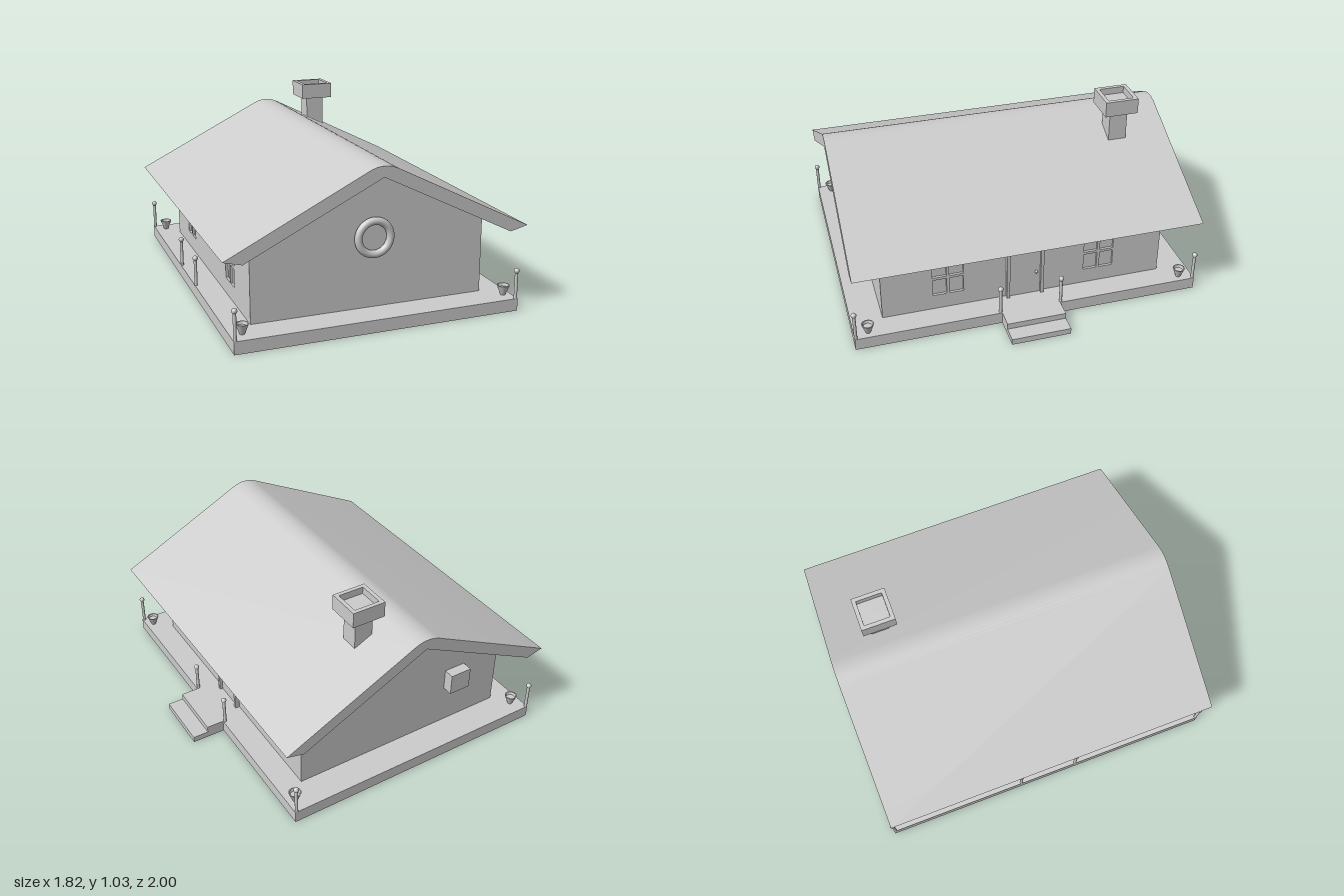
import * as THREE from 'three';
import { toCreasedNormals } from 'three/addons/utils/BufferGeometryUtils.js';

const grey = new THREE.MeshStandardMaterial({ color: 0xcccccc });
grey.name = 'plain grey';

const CX = -0.075; // house centre line
const WALL = 0.07; // wall thickness
const HALF_W = 0.655, HALF_L = 0.815;
const FLOOR = 0.07;

function add(parent, name, geometry, x = 0, y = 0, z = 0) {
  const mesh = new THREE.Mesh(geometry, grey);
  mesh.name = name;
  mesh.position.set(x, y, z);
  parent.add(mesh);
  return mesh;
}

// Box given by its lower and upper limits
function block(parent, name, [x0, x1], [y0, y1], [z0, z1]) {
  return add(parent, name, new THREE.BoxGeometry(x1 - x0, y1 - y0, z1 - z0),
    (x0 + x1) / 2, (y0 + y1) / 2, (z0 + z1) / 2);
}

function outline(points, Type = THREE.Shape) {
  return new Type(points.map(([x, y]) => new THREE.Vector2(x, y)));
}

function rect(x0, x1, y0, y1, Type = THREE.Shape) {
  return outline([[x0, y0], [x1, y0], [x1, y1], [x0, y1]], Type);
}

function extrude(shape, depth, curveSegments = 24) {
  return new THREE.ExtrudeGeometry(shape, { depth, bevelEnabled: false, curveSegments });
}

// Window: frame with four panes, outer face at local z = 0
function makeWindow(x) {
  const g = new THREE.Group();
  g.name = 'window';
  const frame = rect(-0.105, 0.105, 0.145, 0.36);
  for (const [a, b] of [[-0.088, -0.008], [0.008, 0.088]]) {
    frame.holes.push(rect(a, b, 0.162, 0.265, THREE.Path), rect(a, b, 0.281, 0.342, THREE.Path));
  }
  add(g, 'windowFrame', extrude(frame, 0.02), 0, 0, -0.02);
  block(g, 'windowPane', [-0.1, 0.1], [0.15, 0.355], [-0.022, -0.014]);
  g.position.x = x;
  return g;
}

// Long wall with two windows, outer face at local z = 0
function makeSideWall(name) {
  const g = new THREE.Group();
  g.name = name;
  const len = HALF_L - WALL;
  const shape = rect(-len, len, FLOOR, 0.522);
  for (const x of [-0.44, 0.44]) {
    shape.holes.push(rect(x - 0.105, x + 0.105, 0.145, 0.36, THREE.Path));
    g.add(makeWindow(x));
  }
  add(g, 'wallPanel', extrude(shape, WALL), 0, 0, -WALL);
  return g;
}

function makeDoor() {
  const g = new THREE.Group();
  g.name = 'door';
  const frame = outline([[-0.108, FLOOR], [-0.09, FLOOR], [-0.09, 0.385], [0.09, 0.385],
    [0.09, FLOOR], [0.108, FLOOR], [0.108, 0.4], [-0.108, 0.4]]);
  add(g, 'doorFrame', extrude(frame, 0.025));
  block(g, 'doorPanel', [-0.09, 0.09], [FLOOR, 0.385], [-0.005, 0.008]);
  add(g, 'doorKnob', new THREE.SphereGeometry(0.009, 16, 12), 0.066, 0.215, 0.015);
  return g;
}

// Gable wall profile, tucked under the roof
function gableShape() {
  return outline([[-HALF_W, FLOOR], [HALF_W, FLOOR], [HALF_W, 0.495], [0, 0.825], [-HALF_W, 0.495]]);
}

export function createModel() {
  const house = new THREE.Group();
  house.name = 'house';

  // Terrace slab, open under the house
  const slab = rect(-0.865, 0.72, -0.99, 0.99);
  const inX = HALF_W - WALL, inZ = HALF_L - WALL;
  slab.holes.push(rect(CX - inX, CX + inX, -inZ, inZ, THREE.Path));
  add(house, 'terrace', extrude(slab, FLOOR).rotateX(-Math.PI / 2));
  block(house, 'upperStep', [0.72, 0.82], [0, FLOOR], [-0.17, 0.168]);
  block(house, 'lowerStep', [0.82, 0.91], [0, 0.035], [-0.17, 0.168]);

  // Gable walls; the front one has a round window
  const front = gableShape();
  front.holes.push(new THREE.Path().absarc(0.015, 0.46, 0.09, 0, Math.PI * 2, true));
  add(house, 'frontWall', extrude(front, WALL), CX, 0, HALF_L - WALL);
  add(house, 'backWall', extrude(gableShape(), WALL), CX, 0, -HALF_L);
  add(house, 'roundWindowRing', new THREE.TorusGeometry(0.09, 0.021, 20, 48), -0.06, 0.46, 0.835);
  add(house, 'roundWindowPane', new THREE.CylinderGeometry(0.092, 0.092, 0.008, 40).rotateX(Math.PI / 2),
    -0.06, 0.46, 0.816);
  block(house, 'ventBox', [-0.49, -0.36], [0.31, 0.435], [-0.875, -0.81]);

  // Long walls
  const left = makeSideWall('leftWall');
  left.add(makeDoor());
  left.rotation.y = Math.PI / 2;
  left.position.x = CX + HALF_W;
  const right = makeSideWall('rightWall');
  right.rotation.y = -Math.PI / 2;
  right.position.x = CX - HALF_W;
  house.add(left, right);

  // Roof with a rounded ridge
  const roof = new THREE.Shape();
  roof.moveTo(-0.835, 0.48);
  roof.lineTo(-0.735, 0.455);
  roof.lineTo(0, 0.82);
  roof.lineTo(0.735, 0.455);
  roof.lineTo(0.835, 0.48);
  roof.lineTo(0.08, 0.858);
  roof.quadraticCurveTo(0, 0.898, -0.08, 0.858);
  roof.closePath();
  add(house, 'roof', toCreasedNormals(extrude(roof, 1.965, 8), 0.3), CX, 0, -0.9825);

  // Chimney with a hollowed cap
  const chimney = new THREE.Group();
  chimney.name = 'chimney';
  chimney.position.set(0.143, 0, -0.672);
  block(chimney, 'chimneyShaft', [-0.054, 0.054], [0.74, 0.945], [-0.053, 0.053]);
  const cap = rect(-0.097, 0.097, -0.097, 0.097);
  cap.holes.push(rect(-0.074, 0.074, -0.074, 0.074, THREE.Path));
  add(chimney, 'chimneyCap', extrude(cap, 0.09).rotateX(-Math.PI / 2), 0, 0.94, 0);
  block(chimney, 'chimneyCapFloor', [-0.08, 0.08], [0.94, 0.99], [-0.08, 0.08]);
  house.add(chimney);

  // Lamp posts along both long edges
  for (const x of [-0.857, 0.709]) {
    for (const z of [-0.983, -0.175, 0.175, 0.983]) {
      const post = new THREE.Group();
      post.name = 'lampPost';
      add(post, 'post', new THREE.CylinderGeometry(0.009, 0.009, 0.16, 16), 0, 0.145, 0);
      add(post, 'lampGlobe', new THREE.SphereGeometry(0.015, 20, 14), 0, 0.228, 0);
      post.position.set(x, 0, z);
      house.add(post);
    }
  }

  // Flower pots in the corners
  const potProfile = [[0, 0], [0.013, 0], [0.035, 0.057], [0.029, 0.057], [0.024, 0.042], [0, 0.042]]
    .map(([r, y]) => new THREE.Vector2(r, y));
  for (const x of [-0.8, 0.675]) {
    for (const z of [-0.91, 0.91]) {
      add(house, 'flowerPot', toCreasedNormals(new THREE.LatheGeometry(potProfile, 28), 0.5), x, 0.069, z);
    }
  }

  return house;
}
